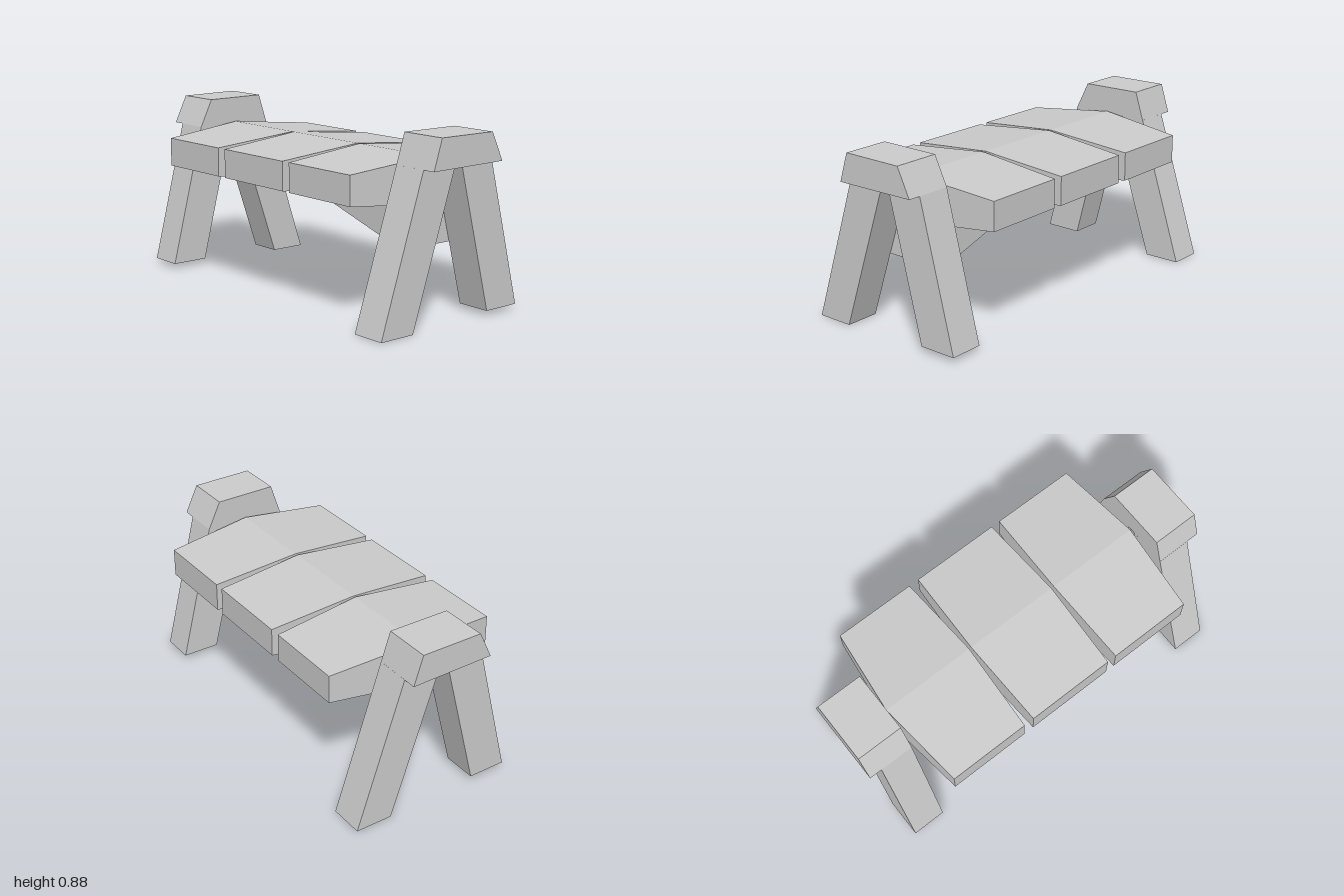
import * as THREE from 'three';

const material = new THREE.MeshStandardMaterial({ color: 0xcccccc, flatShading: true });

function makeMesh(name, geometry) {
  geometry.computeVertexNormals();
  const mesh = new THREE.Mesh(geometry, material);
  mesh.name = name;
  return mesh;
}

function extrude(points, depth) {
  const shape = new THREE.Shape(points.map(([u, v]) => new THREE.Vector2(u, v)));
  return new THREE.ExtrudeGeometry(shape, { depth, bevelEnabled: false });
}

// Extrudes a side profile given as [z, y] points from x0 to x1.
function sidePart(name, points, x0, x1) {
  return makeMesh(name, extrude(points, x1 - x0).rotateY(-Math.PI / 2).translate(x1, 0, 0));
}

// Splayed pair of legs under a wedge-shaped cap, one leg slightly shorter.
function makeEndFrame(name) {
  const frame = new THREE.Group();
  frame.name = name;
  frame.add(
    sidePart('longLeg', [[0.27, 0], [0.46, 0], [0.217, 0.74], [0.02, 0.74]], 0.76, 0.935),
    sidePart('shortLeg', [[-0.4, 0.025], [-0.205, 0.025], [-0.02, 0.742], [-0.215, 0.743]], 0.76, 0.935),
    sidePart('legCap', [[-0.215, 0.743], [0.217, 0.739], [0.17, 0.885], [-0.147, 0.883]], 0.76, 1)
  );
  return frame;
}

// Seat slab, thicker and wider along its middle line than at its ends.
function makeSlab(name, [midLeft, midRight], [endLeft, endRight]) {
  const geometry = new THREE.BoxGeometry(1, 1, 1, 1, 1, 2);
  const p = geometry.attributes.position;
  for (let i = 0; i < p.count; i++) {
    const middle = Math.abs(p.getZ(i)) < 0.01;
    const [left, right] = middle ? [midLeft, midRight] : [endLeft, endRight];
    const [low, high] = middle ? [0.53, 0.756] : [0.571, 0.714];
    p.setXYZ(i, p.getX(i) < 0 ? left : right, p.getY(i) < 0 ? low : high, p.getZ(i) * 0.905);
  }
  return makeMesh(name, geometry);
}

// Wedge under one end of the seat, narrowing towards its tip.
function makeBrace() {
  const geometry = extrude([[0.03, 0.54], [0.76, 0.34], [0.76, 0.54]], 1).translate(0, 0, -0.5);
  const p = geometry.attributes.position;
  for (let i = 0; i < p.count; i++) {
    p.setZ(i, Math.sign(p.getZ(i)) * (0.144 + 0.043 * p.getX(i)));
  }
  return makeMesh('brace', geometry);
}

export function createModel() {
  const bench = new THREE.Group();
  bench.name = 'bench';

  const rightFrame = makeEndFrame('rightEndFrame');
  rightFrame.rotation.y = Math.PI; // the two frames are half a turn apart
  bench.add(makeEndFrame('leftEndFrame'), rightFrame);

  bench.add(
    makeSlab('rightSeatSlab', [-0.747, -0.254], [-0.694, -0.275]),
    makeSlab('middleSeatSlab', [-0.242, 0.25], [-0.222, 0.235]),
    makeSlab('leftSeatSlab', [0.265, 0.75], [0.283, 0.714]),
    makeBrace()
  );
  return bench;
}
